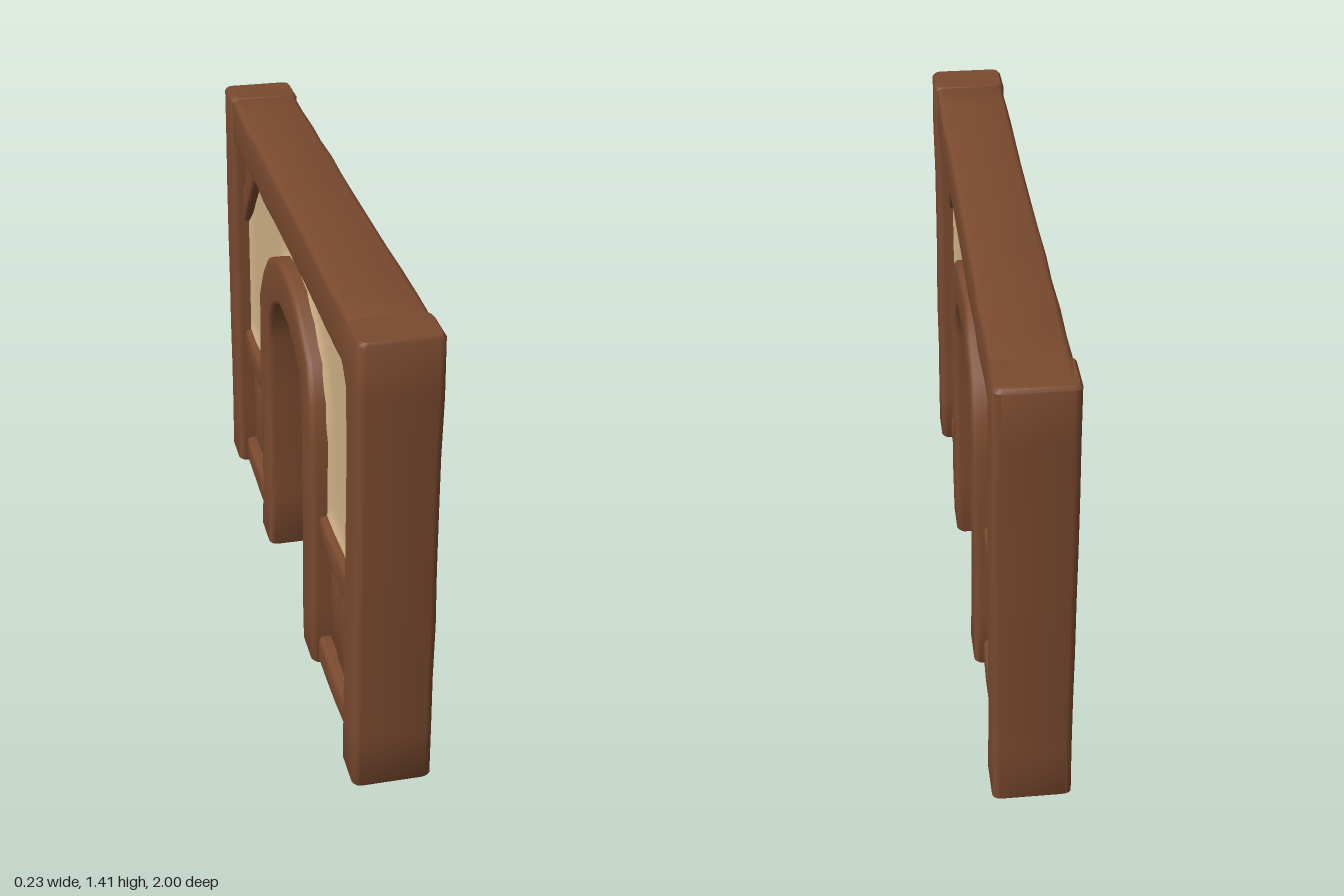
import * as THREE from 'three';
import { toCreasedNormals } from 'three/addons/utils/BufferGeometryUtils.js';

const wood = new THREE.MeshStandardMaterial({ color: 0x7a4a2f });
wood.name = 'brown wood';
const plaster = new THREE.MeshStandardMaterial({ color: 0xcfb084 });
plaster.name = 'cream plaster';

// Small seeded wobble for the hand-hewn edges
let seed = 7;
function wobble(amount) {
  seed = (seed * 16807) % 2147483647;
  return (seed / 2147483647 - 0.5) * 2 * amount;
}

function addMesh(parent, name, geometry, material) {
  const mesh = new THREE.Mesh(geometry, material);
  mesh.name = name;
  parent.add(mesh);
  return mesh;
}

// Rounded timber: pairs of edge points [z, y] set the section, halfX its depth.
// Going along the path, the second edge lies so that (edge direction) x (+x) points forward.
function timber(pairs, halfX, r = 0.018, rough = 0.003) {
  const rings = pairs.map(([a, b]) => ({ a: new THREE.Vector2(...a), b: new THREE.Vector2(...b), inset: 0 }));
  const n = rings.length;
  const rounded = (end, next) => {
    const t = r * 0.5 / end.a.distanceTo(next.a);
    return { a: end.a.clone().lerp(next.a, t), b: end.b.clone().lerp(next.b, t), inset: 0 };
  };
  const start = rounded(rings[0], rings[1]);
  const finish = rounded(rings[n - 1], rings[n - 2]);
  rings[0].inset = rings[n - 1].inset = r * 0.35;
  rings.splice(n - 1, 0, finish);
  rings.splice(1, 0, start);

  const pos = [], index = [], M = 16;
  rings.forEach(({ a, b, inset }) => {
    const dir = b.clone().sub(a);
    const halfN = dir.length() / 2 - inset;
    dir.normalize();
    const mid = a.clone().add(b).multiplyScalar(0.5);
    const hx = halfX - inset + wobble(rough), hn = halfN + wobble(rough);
    for (let k = 0; k < M; k++) {
      const q = Math.floor(k / 4);
      const ang = q * Math.PI / 2 + (k % 4) * Math.PI / 6;
      const sn = q === 0 || q === 3 ? 1 : -1, sx = q < 2 ? 1 : -1;
      const s = sn * (hn - r) + r * Math.cos(ang);
      pos.push(sx * (hx - r) + r * Math.sin(ang), mid.y + dir.y * s, mid.x + dir.x * s);
    }
  });
  for (let i = 0; i < rings.length - 1; i++) {
    for (let k = 0; k < M; k++) {
      const p = i * M + k, q = i * M + (k + 1) % M;
      index.push(p, q, q + M, p, q + M, p + M);
    }
  }
  const last = (rings.length - 1) * M;
  for (let k = 1; k < M - 1; k++) {
    index.push(0, k + 1, k, last, last + k, last + k + 1);
  }
  const geo = new THREE.BufferGeometry();
  geo.setAttribute('position', new THREE.Float32BufferAttribute(pos, 3));
  geo.setIndex(index);
  return toCreasedNormals(geo, 0.75);
}

// Straight timbers, split into steps so they can wobble
function upright(z0, z1, y0, y1, halfX, steps, r, rough) {
  const pairs = [];
  for (let i = 0; i <= steps; i++) {
    const y = y0 + (y1 - y0) * i / steps;
    pairs.push([[z0, y], [z1, y]]);
  }
  return timber(pairs, halfX, r, rough);
}
function level(z0, z1, y0, y1, halfX, steps, r, rough) {
  const pairs = [];
  for (let i = 0; i <= steps; i++) {
    const z = z0 + (z1 - z0) * i / steps;
    pairs.push([[z, y1], [z, y0]]);
  }
  return timber(pairs, halfX, r, rough);
}

// Flat slab drawn in the z-y plane, centred on x = 0
function slab(points, halfX) {
  const shape = new THREE.Shape(points.map(([z, y]) => new THREE.Vector2(z, y)));
  const geo = new THREE.ExtrudeGeometry(shape, { depth: halfX * 2, bevelEnabled: false });
  return geo.translate(0, 0, -halfX).rotateY(-Math.PI / 2);
}

function archPoint(angle, rz, ry) {
  return [rz * Math.cos(angle), 0.8 + ry * Math.sin(angle)];
}

// One face of plaster, from the arch out to the timbers, curling outward at its edges
function plasterFace() {
  const inZ = 0.4, inY = 0.357, outZ = 0.86, outY = 0.465, bottom = 0.535;
  const spans = [];
  const legs = [bottom, 0.55, 0.57, 0.6, 0.7];
  legs.forEach(y => spans.push([[inZ, y], [outZ, y]]));
  for (let i = 0; i <= 24; i++) {
    const a = Math.PI * i / 24, c = Math.cos(a), s = Math.sin(a);
    const reach = Math.min(outZ / Math.max(Math.abs(c), 1e-6), outY / Math.max(s, 1e-6));
    spans.push([archPoint(a, inZ, inY), [c * reach, 0.8 + s * reach]]);
  }
  [...legs].reverse().forEach(y => spans.push([[-inZ, y], [-outZ, y]]));

  const steps = [0, 0.04, 0.09, 0.16, 0.3, 0.5, 0.7, 0.84, 0.91, 0.96, 1];
  const pos = [], index = [], W = steps.length;
  spans.forEach(([a, b], i) => {
    const length = Math.hypot(b[0] - a[0], b[1] - a[1]);
    steps.forEach((t, j) => {
      const z = a[0] + (b[0] - a[0]) * t, y = a[1] + (b[1] - a[1]) * t;
      const edge = Math.min(t * length, (1 - t) * length, y - bottom);
      const lip = Math.max(0, 1 - edge / 0.07) ** 2;
      pos.push(0.05 + 0.018 * lip, y, z);
      if (i < spans.length - 1 && j < W - 1) {
        const p = i * W + j;
        index.push(p, p + W, p + W + 1, p, p + W + 1, p + 1);
      }
    });
  });
  const geo = new THREE.BufferGeometry();
  geo.setAttribute('position', new THREE.Float32BufferAttribute(pos, 3));
  geo.setIndex(index);
  geo.computeVertexNormals();
  return geo;
}

export function createModel() {
  const model = new THREE.Group();
  model.name = 'archedWall';

  // Arched door frame, one continuous timber
  const frame = [];
  const legHeights = [0.002, 0.2, 0.4, 0.6];
  legHeights.forEach(y => frame.push([[0.265, y], [0.415, y]]));
  for (let i = 0; i <= 10; i++) {
    const a = Math.PI * i / 10;
    frame.push([archPoint(a, 0.265, 0.22), archPoint(a, 0.415, 0.372)]);
  }
  [...legHeights].reverse().forEach(y => frame.push([[-0.265, y], [-0.415, y]]));
  addMesh(model, 'doorArch', timber(frame, 0.109), wood);

  // Top beam
  addMesh(model, 'topBeam', level(-0.87, 0.87, 1.255, 1.412, 0.108, 12), wood);

  // Everything that repeats on both sides of the door
  for (const side of [0, 1]) {
    const half = new THREE.Group();
    half.name = side ? 'backSide' : 'frontSide';
    half.rotation.y = side * Math.PI;
    model.add(half);

    addMesh(half, 'plasterFace', plasterFace(), plaster);
    addMesh(half, 'post', upright(0.847, 0.998, 0, 1.415, 0.114, 8, 0.02, 0.002), wood);
    addMesh(half, 'bottomRail', level(0.39, 0.87, 0.003, 0.1, 0.084, 4), wood);
    addMesh(half, 'middleRail', level(0.39, 0.87, 0.45, 0.548, 0.084, 4), wood);

    // Corner brace, bowed slightly outward, with a filled corner behind it
    addMesh(half, 'cornerBrace', timber([
      [[0.88, 0.93], [0.9, 1.06]],
      [[0.775, 1.065], [0.83, 1.12]],
      [[0.67, 1.17], [0.725, 1.23]],
      [[0.53, 1.285], [0.65, 1.3]],
    ], 0.08, 0.015, 0.002), wood);
    addMesh(half, 'braceCorner', slab([[0.87, 1.0], [0.87, 1.28], [0.6, 1.28]], 0.07), wood);

    // Lower panel: a backing board with upright planks
    addMesh(half, 'panelBoard', slab([[0.4, 0.05], [0.86, 0.05], [0.86, 0.5], [0.4, 0.5]], 0.042), wood);
    const planks = 4, width = 0.45 / planks;
    for (let i = 0; i < planks; i++) {
      const z = 0.405 + i * width;
      addMesh(half, 'plank', upright(z, z + width, 0.07, 0.48, 0.049 + (i % 2) * 0.003, 2, 0.006, 0.001), wood);
    }
  }
  return model;
}
